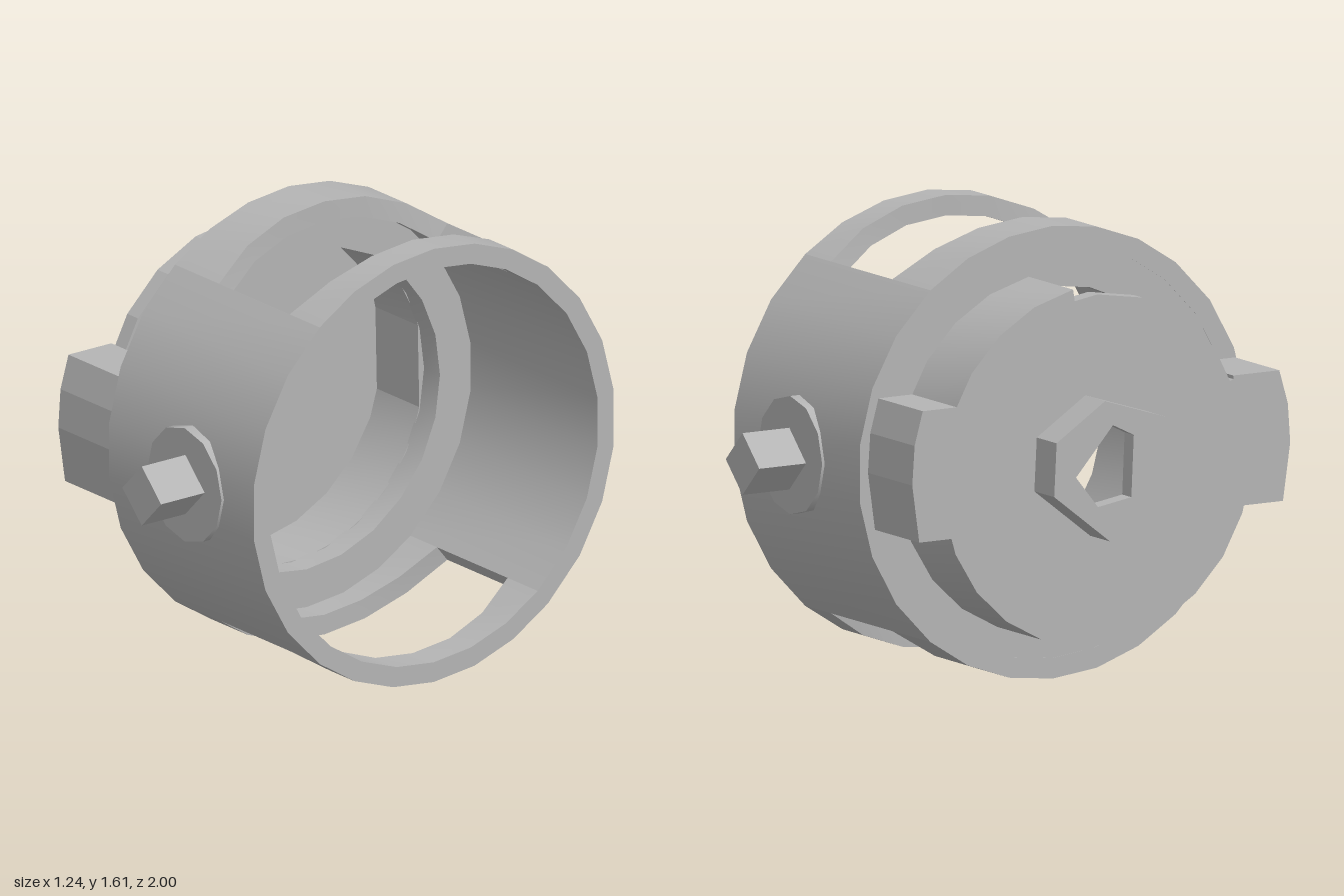
import * as THREE from 'three';
import { toCreasedNormals } from 'three/addons/utils/BufferGeometryUtils.js';

const CY = 0.808; // height of the housing axis, which runs along x
const metal = new THREE.MeshStandardMaterial({ color: 0xb4b4b4 });
metal.name = 'grey metal';

// Sweep a rectangular section round the axis; angles in degrees from +y towards +z.
// span(a) gives the section's [x0, x1] at angle a.
function arcGeometry(a0, a1, n, r0, r1, span) {
  const pos = [];
  const loops = [];
  for (let i = 0; i <= n; i++) {
    const deg = a0 + ((a1 - a0) * i) / n;
    const a = THREE.MathUtils.degToRad(deg);
    const [x0, x1] = span(deg);
    loops.push([[x0, r0], [x1, r0], [x1, r1], [x0, r1]]
      .map(([x, r]) => [x, CY + r * Math.cos(a), r * Math.sin(a)]));
  }
  const quad = (a, b, c, d) => pos.push(...a, ...b, ...c, ...a, ...c, ...d);
  for (let i = 0; i < n; i++) {
    const p = loops[i], q = loops[i + 1];
    for (let j = 0; j < 4; j++) quad(p[j], p[(j + 1) % 4], q[(j + 1) % 4], q[j]);
  }
  if (a1 - a0 < 360) {
    const s = loops[0], e = loops[n];
    quad(s[0], s[3], s[2], s[1]);
    quad(e[0], e[1], e[2], e[3]);
  }
  const g = new THREE.BufferGeometry();
  g.setAttribute('position', new THREE.Float32BufferAttribute(pos, 3));
  return toCreasedNormals(g, 0.6);
}

// Extrude an outline of [z, y] points along x, with an optional hole.
function slabGeometry(points, x0, x1, hole) {
  const toVec = ([z, y]) => new THREE.Vector2(-z, y);
  const shape = new THREE.Shape(points.map(toVec));
  if (hole) shape.holes.push(new THREE.Path(hole.map(toVec)));
  const g = new THREE.ExtrudeGeometry(shape, { depth: x1 - x0, bevelEnabled: false });
  g.rotateY(Math.PI / 2);
  g.translate(x0, 0, 0);
  return g;
}

export function createModel() {
  const model = new THREE.Group();
  model.name = 'housing';
  const add = (name, geometry) => {
    const mesh = new THREE.Mesh(geometry, metal);
    mesh.name = name;
    model.add(mesh);
    return mesh;
  };

  // Drum wall with an opening at the top and the bottom
  const half = 39;
  const taper = (d) => 0.05 * Math.max(0, (Math.abs(d) - 20) / (half - 20));
  for (const [side, mid] of [['top', 0], ['bottom', 180]]) {
    add(side + 'InnerBand', arcGeometry(mid - half, mid + half, 6, 0.73, 0.803,
      (d) => [-0.2, taper(d - mid)]));
    add(side + 'OuterBand', arcGeometry(mid - half, mid + half, 6, 0.73, 0.803,
      (d) => [0.5 - taper(d - mid), 0.62]));
    add(side === 'top' ? 'frontWall' : 'backWall',
      arcGeometry(mid + half, mid + 180 - half, 7, 0.73, 0.803, () => [-0.2, 0.62]));
  }

  // Step between the drum and the narrower end
  add('innerStep', arcGeometry(0, 360, 24, 0.59, 0.76, () => [-0.199, -0.1]));

  // Narrow end wall, open in the upper front sector
  add('endWall', arcGeometry(66, 351, 19, 0.59, 0.64, () => [-0.49, -0.19]));

  // End plate and raised hub around a five-sided hole
  const hole = [[-0.01, 0.98], [-0.17, 0.8], [-0.05, 0.65], [0.14, 0.68], [0.15, 0.9]];
  const disc = [];
  for (let i = 0; i < 20; i++) {
    const a = (i / 20) * Math.PI * 2;
    disc.push([0.605 * Math.sin(a), CY + 0.605 * Math.cos(a)]);
  }
  add('endPlate', slabGeometry(disc, -0.49, -0.43, hole));
  const hub = [[0.2, 0.66], [0.2, 0.98], [-0.05, 1.06], [-0.25, 0.93], [-0.26, 0.74], [-0.03, 0.56]];
  add('hub', slabGeometry(hub, -0.62, -0.489, hole));

  // Front and back keys, pads and pins
  for (const [side, s, reach] of [['front', 1, 1], ['back', -1, 0.96]]) {
    const key = [[0.56, 1.07], [0.75, 1.07], [0.785, 0.95], [0.795, 0.81], [0.765, 0.605], [0.57, 0.605]];
    add(side + 'Key', slabGeometry(key.map(([z, y]) => [s * z * (z > 0.6 ? reach : 1), y]), -0.49, -0.19));

    const pad = add(side + 'Pad', new THREE.CylinderGeometry(0.21, 0.21, 0.05, 12));
    pad.rotation.x = Math.PI / 2;
    pad.position.set(0.24, CY, s * 0.782);

    const pin = add(side + 'Pin', new THREE.BoxGeometry(0.155, 0.155, 0.24));
    pin.rotation.z = Math.PI / 4;
    pin.position.set(0.245, s > 0 ? 0.81 : 0.795, s * 0.88);
  }
  return model;
}
